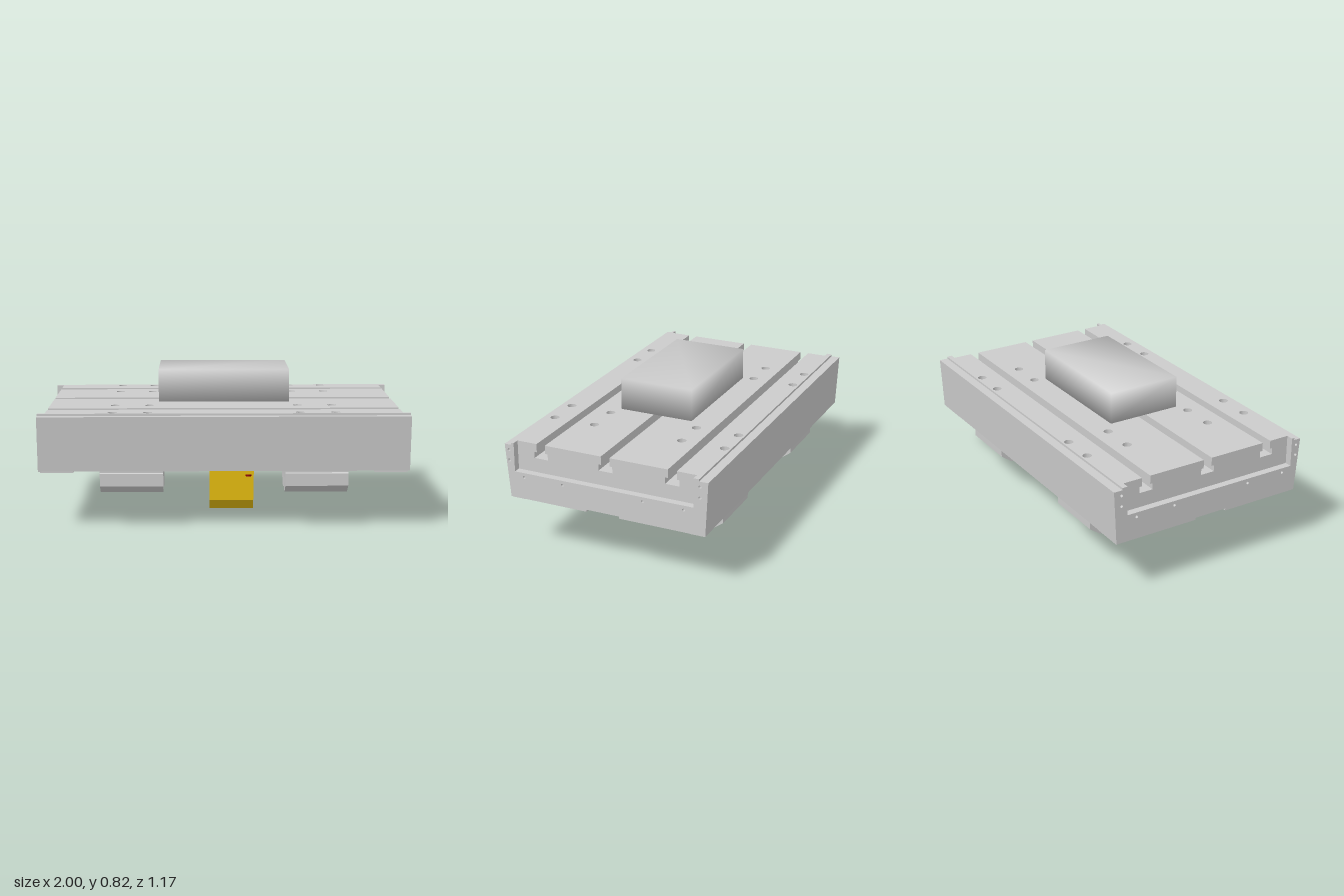
import * as THREE from 'three';
import { mergeVertices } from 'three/addons/utils/BufferGeometryUtils.js';

const grey = new THREE.MeshStandardMaterial({ color: 0xcccccc });
const gold = new THREE.MeshStandardMaterial({ color: 0xe6bc0c });
const red = new THREE.MeshStandardMaterial({ color: 0x8b0000 });

const toShape = (points) => new THREE.Shape(points.map(([a, b]) => new THREE.Vector2(a, b)));

function addHoles(shape, centres, r) {
  for (const [a, b] of centres) shape.holes.push(new THREE.Path().absarc(a, b, r, 0, Math.PI * 2, true));
  return shape;
}

// Extrudes a (z, y) profile along x, from x0 to x1
function alongX(shape, x0, x1) {
  return new THREE.ExtrudeGeometry(shape, { depth: x1 - x0, bevelEnabled: false, curveSegments: 24 })
    .rotateY(-Math.PI / 2).translate(x1, 0, 0);
}

export function createModel() {
  const model = new THREE.Group();
  const add = (name, geometry, material = grey, parent = model) => {
    const mesh = new THREE.Mesh(geometry, material);
    mesh.name = name;
    parent.add(mesh);
  };
  const table = new THREE.Group();
  table.name = 'table';
  model.add(table);
  const tableBox = (name, x0, x1, y0, y1, z0, z1) => add(name,
    new THREE.BoxGeometry(x1 - x0, y1 - y0, z1 - z0)
      .translate((x0 + x1) / 2, (y0 + y1) / 2, (z0 + z1) / 2), grey, table);
  const END = 0.96;

  // Hollow table body with the wide lower half of the T-slots
  add('tableBody', alongX(toShape([
    [0.56, 0.32], [0.585, 0.62], [0.545, 0.62], [0.545, 0.585],
    [0.43, 0.585], [0.43, 0.55], [0.35, 0.55], [0.35, 0.585],
    [0.05, 0.585], [0.05, 0.55], [-0.03, 0.55], [-0.03, 0.585],
    [-0.33, 0.585], [-0.33, 0.55], [-0.41, 0.55], [-0.41, 0.585],
    [-0.535, 0.585], [-0.535, 0.62], [-0.585, 0.62], [-0.57, 0.32],
    [-0.5, 0.32], [-0.5, 0.46], [0.5, 0.46], [0.5, 0.32],
  ]), -END, END), grey, table);

  // Top strips leave the narrow slot openings and carry the bolt holes
  const strips = [[0.415, 0.545, 0.51], [0.035, 0.365, 0.265], [-0.345, -0.015, -0.255], [-0.535, -0.395, -0.5]];
  for (const [z0, z1, holeZ] of strips) {
    const shape = toShape([[-END, -z1], [END, -z1], [END, -z0], [-END, -z0]]);
    addHoles(shape, [-0.6, -0.41, 0.41, 0.6].map((x) => [x, -holeZ]), 0.025);
    add('topStrip', new THREE.ExtrudeGeometry(shape, { depth: 0.047, bevelEnabled: false, curveSegments: 12 })
      .rotateX(-Math.PI / 2).translate(0, 0.585, 0), grey, table);
  }

  // End plates with raised corners, small screw holes and a shallow notch below
  const endHoles = [[0.56, 0.59], [0.56, 0.53], [-0.54, 0.59], [-0.54, 0.53],
    [0.475, 0.445], [0.245, 0.445], [-0.22, 0.445], [-0.45, 0.445]];
  for (const [x0, x1] of [[-1, -END], [END, 1]]) {
    const shape = toShape([
      [0.56, 0.32], [0.585, 0.62], [0.545, 0.62], [0.545, 0.632], [0.53, 0.632], [0.53, 0.47],
      [-0.505, 0.47], [-0.505, 0.632], [-0.535, 0.632], [-0.535, 0.62], [-0.585, 0.62], [-0.57, 0.32],
      [-0.085, 0.32], [-0.085, 0.332], [0.105, 0.332], [0.105, 0.32],
    ]);
    add('endPlate', alongX(addHoles(shape, endHoles, 0.008), x0, x1), grey, table);
  }

  // Underside: end walls, cross bars, bearing pads and corner feet
  for (const s of [-1, 1]) {
    const span = (a, b) => (s > 0 ? [a, b] : [-b, -a]);
    tableBox('endWall', ...span(0.92, 0.965), 0.332, 0.47, -0.52, 0.52);
    tableBox('crossBar', ...span(0.335, 0.665), 0.345, 0.47, -0.51, 0.51);
    for (const [z0, z1] of [[0.245, 0.545], [-0.525, -0.225]]) {
      tableBox('bearingPad', ...span(0.33, 0.67), 0.309, 0.47, z0, z1);
    }
    for (const [z0, z1] of [[0.48, 0.557], [-0.565, -0.48]]) {
      tableBox('cornerFoot', ...span(0.81, 0.99), 0.313, 0.335, z0, z1);
    }
  }
  // Two lengthwise ribs, carrying the raised rails the bracket hangs from
  for (const [z0, z1] of [[0.108, 0.21], [-0.19, -0.08]]) {
    tableBox('longRib', -0.94, 0.94, 0.33, 0.47, z0, z1);
    tableBox('bracketRail', -0.1, 0.2, 0.312, 0.34, z0, z1);
  }
  tableBox('bracketPad', -0.1, 0.2, 0.34, 0.47, -0.1, 0.12);

  // Four linear bearing blocks
  const half = [[0.05, 0.26], [0.05, 0.19], [0.09, 0.19], [0.152, 0.235], [0.152, 0.303], [0.14, 0.31]];
  for (const z of [0.395, -0.375]) {
    const profile = [...half, ...half.map(([a, b]) => [-a, b]).reverse()].map(([a, b]) => [a + z, b]);
    for (const x of [-0.5, 0.5]) {
      add('bearingBlock', alongX(toShape(profile), x - 0.17, x + 0.17));
    }
  }

  // Nut bracket: flanged C-shaped clamp, open at the bottom
  const nut = new THREE.Shape();
  nut.moveTo(0.09, 0.003);
  for (const [z, y] of [[0.152, 0.065], [0.152, 0.228], [0.218, 0.228], [0.218, 0.312], [0.108, 0.312],
    [0.108, 0.295], [-0.08, 0.295], [-0.08, 0.312], [-0.198, 0.312], [-0.198, 0.228], [-0.13, 0.228], [-0.13, 0.065],
    [-0.07, 0.003]]) nut.lineTo(z, y);
  nut.quadraticCurveTo(-0.045, -0.004, -0.043, 0.022);
  const gap = Math.atan2(0.085, 0.053);
  nut.absarc(0.01, 0.13, 0.098, Math.PI + gap, -gap, true);
  nut.lineTo(0.063, 0.022);
  nut.quadraticCurveTo(0.065, -0.004, 0.09, 0.003);
  add('nutBracket', alongX(nut, -0.077, 0.172), gold);
  for (const z of [0.185, -0.162]) {
    add('bracketScrew', new THREE.CylinderGeometry(0.017, 0.017, 0.016, 16).translate(0.143, 0.221, z), red);
  }

  // Workpiece block above the table, shaded smoothly across its edges
  let block = new THREE.BoxGeometry(0.725, 0.18, 0.425).translate(0.003, 0.735, 0.007);
  block.deleteAttribute('normal');
  block.deleteAttribute('uv');
  block = mergeVertices(block);
  block.computeVertexNormals();
  add('workpiece', block);

  return model;
}
